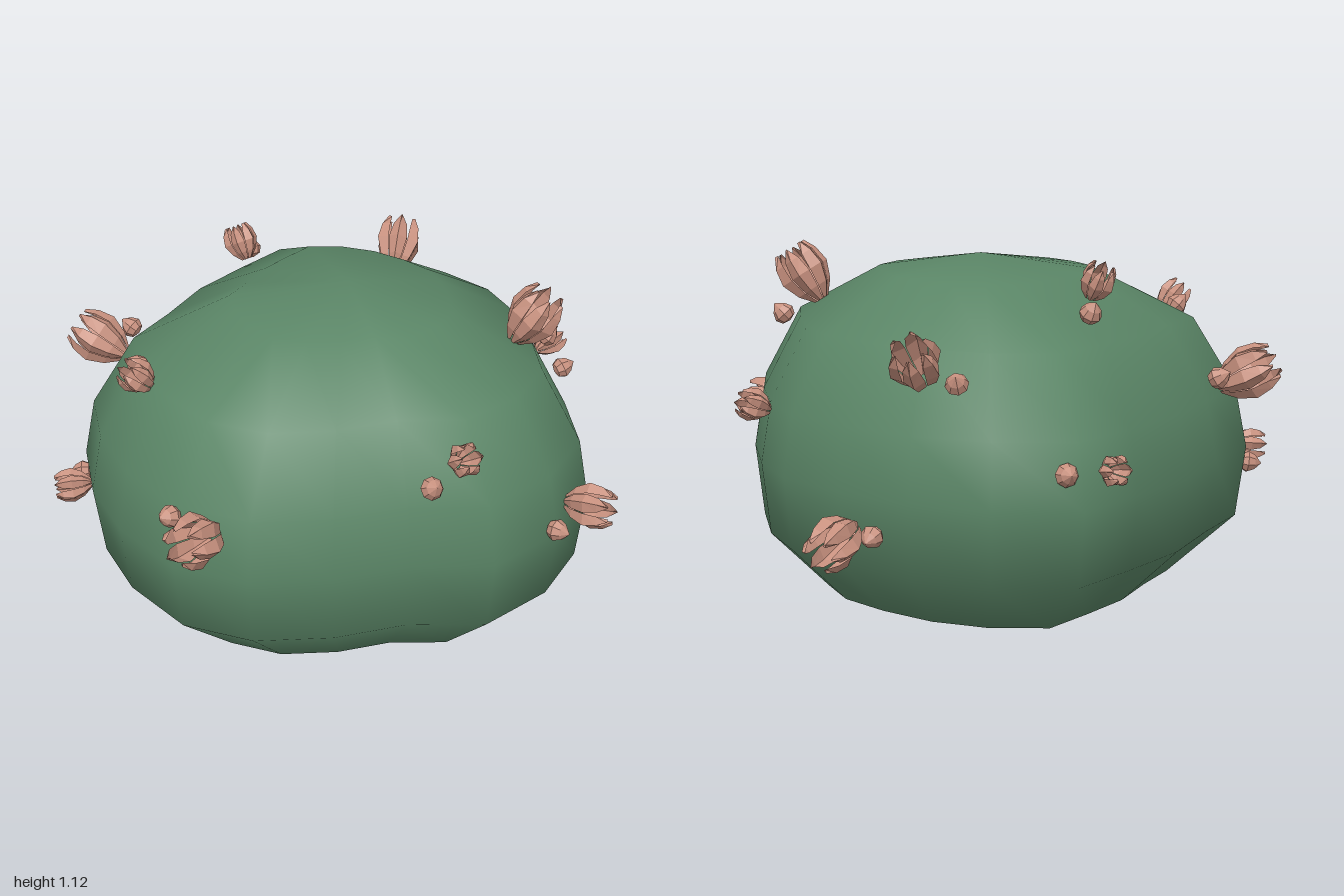
import * as THREE from 'three';

const green = new THREE.MeshStandardMaterial({ color: 0x5a8566 });
green.name = 'leafGreen';
const pink = new THREE.MeshStandardMaterial({ color: 0xc8917f, flatShading: true, side: THREE.DoubleSide });
pink.name = 'blossomPink';

// Plan outline of the widest ring, [x, z], running from front to left
const outline = [
  [0, 0.83], [0.26, 0.79], [0.46, 0.61], [0.64, 0.41], [0.75, 0.21], [0.78, -0.04], [0.77, -0.31],
  [0.69, -0.56], [0.53, -0.78], [0.27, -0.8], [0, -0.81], [-0.27, -0.76], [-0.52, -0.73], [-0.69, -0.54],
  [-0.81, -0.31], [-0.87, -0.03], [-0.8, 0.21], [-0.63, 0.41], [-0.43, 0.56], [-0.27, 0.77],
];
// Rings from the crown down, [height, scale of the outline]
const rings = [[1.04, 0.43], [0.88, 0.79], [0.64, 0.955], [0.44, 1], [0.2, 0.965], [0, 0.71]];

function makeGeometry(positions, index) {
  const g = new THREE.BufferGeometry();
  g.setAttribute('position', new THREE.Float32BufferAttribute(positions, 3));
  g.setIndex(index);
  g.computeVertexNormals();
  return g;
}

// Smooth mound: crown fan plus stacked rings
function bushGeometry() {
  const n = outline.length;
  const pos = [0, 1.095, 0];
  const index = [];
  for (const [y, s] of rings) for (const [x, z] of outline) pos.push(x * s, y, z * s);
  for (let i = 0; i < n; i++) {
    const k = (i + 1) % n;
    index.push(0, 1 + i, 1 + k);
    for (let j = 0; j < rings.length - 1; j++) {
      const a = 1 + j * n + i, d = 1 + j * n + k;
      index.push(a, a + n, d + n, a, d + n, d);
    }
  }
  return makeGeometry(pos, index);
}

// Flat underside
function undersideGeometry() {
  const s = rings[rings.length - 1][1];
  const pos = [0, 0, 0];
  const index = [];
  outline.forEach(([x, z], i) => {
    pos.push(x * s, 0, z * s);
    index.push(0, 1 + (i + 1) % outline.length, 1 + i);
  });
  return makeGeometry(pos, index);
}

// Unit blossom: six folded petals in a cup, [height, radius, half angle]
function blossomGeometry() {
  const rows = [[0, 0.3, 0.42], [0.22, 0.72, 0.5], [0.52, 1, 0.5], [0.8, 0.9, 0.4], [1, 0.66, 0.06]];
  const petals = 6;
  const pos = [];
  const index = [];
  for (let p = 0; p < petals; p++) {
    const a = (p / petals) * Math.PI * 2;
    const start = pos.length / 3;
    for (const [y, r, w] of rows) {
      for (const side of [-1, 0, 1]) {
        const rr = r * (side ? 0.8 : 1);
        pos.push(Math.sin(a + side * w) * rr, y, Math.cos(a + side * w) * rr);
      }
    }
    for (let j = 0; j < rows.length - 1; j++) {
      for (let c = 0; c < 2; c++) {
        const v = start + j * 3 + c;
        index.push(v, v + 1, v + 4, v, v + 4, v + 3);
      }
    }
  }
  return makeGeometry(pos, index);
}

// Pointed bud, centred near its middle
function budGeometry() {
  const profile = [[0, -0.03], [0.026, -0.022], [0.037, 0], [0.026, 0.024], [0, 0.048]];
  return new THREE.LatheGeometry(profile.map(([x, y]) => new THREE.Vector2(x, y)), 8);
}

// [blossom centre, bud centre, length, radius]
const clusters = [
  [[-0.9, 0.61, 0.1], [-0.86, 0.62, -0.04], 0.2, 0.09],
  [[0.88, 0.32, -0.12], [0.83, 0.34, -0.22], 0.2, 0.085],
  [[0.74, 0.86, -0.32], [0.66, 0.8, -0.41], 0.2, 0.085],
  [[0.28, 1.01, 0.53], [0.4, 0.89, 0.52], 0.2, 0.09],
  [[0.11, 0.51, 0.88], [-0.02, 0.47, 0.84], 0.16, 0.08],
  [[-0.29, 0.74, -0.85], [-0.16, 0.74, -0.82], 0.2, 0.09],
  [[-0.3, 0.8, 0.66], [-0.41, 0.74, 0.62], 0.11, 0.058],
  [[0.75, 0.66, 0.33], [0.66, 0.63, 0.44], 0.11, 0.055],
  [[-0.63, 0.9, -0.36], [-0.56, 0.89, -0.42], 0.12, 0.06],
  [[0.1, 1.05, -0.53], [0.21, 0.97, -0.58], 0.12, 0.06],
  [[-0.67, 0.41, -0.65], [-0.55, 0.38, -0.72], 0.12, 0.06],
  [[0.42, 0.55, -0.81], [0.55, 0.55, -0.73], 0.1, 0.052],
];

const up = new THREE.Vector3(0, 1, 0);
// Outward direction of the mound near a point
const outward = (p) => new THREE.Vector3(p.x / 0.72, (p.y - 0.45) / 0.44, p.z / 0.72).normalize();

export function createModel() {
  const model = new THREE.Group();
  model.name = 'floweringBush';
  const add = (parent, name, geometry, material) => {
    const mesh = new THREE.Mesh(geometry, material);
    mesh.name = name;
    parent.add(mesh);
    return mesh;
  };

  add(model, 'bushBody', bushGeometry(), green);
  add(model, 'bushUnderside', undersideGeometry(), green);

  const blossom = blossomGeometry();
  const bud = budGeometry();
  clusters.forEach(([flowerAt, budAt, length, radius], i) => {
    const group = new THREE.Group();
    group.name = 'flowerCluster' + (i + 1);
    model.add(group);

    const centre = new THREE.Vector3(...flowerAt);
    const dir = outward(centre);
    const flower = add(group, 'blossom', blossom, pink);
    flower.position.copy(centre).addScaledVector(dir, -length / 2);
    flower.quaternion.setFromUnitVectors(up, dir);
    flower.scale.set(radius, length, radius);

    const small = add(group, 'bud', bud, pink);
    small.position.set(...budAt);
    small.quaternion.setFromUnitVectors(up, outward(small.position));
  });
  return model;
}
